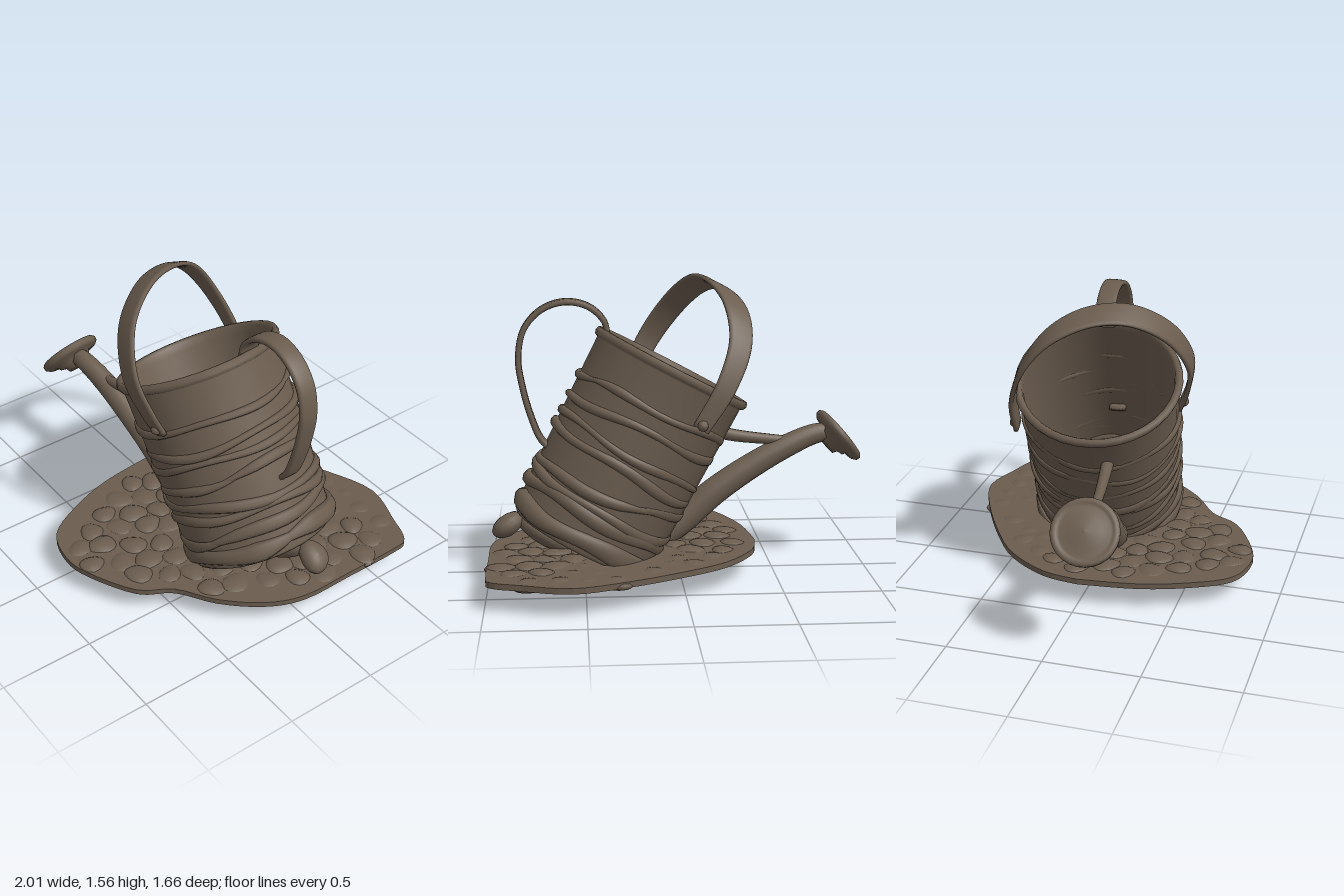
import * as THREE from 'three';

const V = (x, y, z) => new THREE.Vector3(x, y, z);
const rust = new THREE.MeshStandardMaterial({ color: 0x6b5d4f, side: THREE.DoubleSide });
rust.name = 'weathered brown';

let seed = 7;
const rand = () => (seed = (seed * 16807) % 2147483647) / 2147483647;

function add(parent, name, geometry) {
  const mesh = new THREE.Mesh(geometry, rust);
  mesh.name = name;
  parent.add(mesh);
  return mesh;
}

// Sweeps an oval (or squarish, when flat) section along a smooth path; size(t) gives [half width, half thickness]
function sweep(points, steps, sides, sideAt, size, flat = false) {
  const curve = new THREE.CatmullRomCurve3(points);
  const pos = [], index = [];
  for (let i = -1; i <= steps + 1; i++) {
    const t = Math.min(1, Math.max(0, i / steps));
    const c = curve.getPoint(t), tan = curve.getTangent(t);
    const side = sideAt.clone().addScaledVector(tan, -sideAt.dot(tan)).normalize();
    const nrm = tan.clone().cross(side);
    const [w, h] = i < 0 || i > steps ? [0, 0] : size(t);
    for (let j = 0; j < sides; j++) {
      const a = (j / sides) * Math.PI * 2;
      const soft = (v) => (flat ? Math.sign(v) * Math.sqrt(Math.abs(v)) : v);
      const p = c.clone().addScaledVector(side, soft(Math.cos(a)) * w).addScaledVector(nrm, soft(Math.sin(a)) * h);
      pos.push(p.x, p.y, p.z);
    }
  }
  for (let i = 0; i < steps + 2; i++) {
    for (let j = 0; j < sides; j++) {
      const a = i * sides + j, b = i * sides + ((j + 1) % sides);
      index.push(a, b, a + sides, b, b + sides, a + sides);
    }
  }
  const g = new THREE.BufferGeometry();
  g.setAttribute('position', new THREE.Float32BufferAttribute(pos, 3));
  g.setIndex(index);
  g.computeVertexNormals();
  return g;
}

function lathe(profile, sides) {
  return new THREE.LatheGeometry(profile.map(([r, y]) => new THREE.Vector2(r, y)), sides);
}

// Lumpy flattened pebble
function pebble(parent, name, center, scale, along) {
  const g = new THREE.SphereGeometry(1, 14, 8);
  const p = g.attributes.position, k = rand() * 6;
  for (let i = 0; i < p.count; i++) {
    const f = 1 + 0.06 * Math.sin(Math.atan2(p.getZ(i), p.getX(i)) * 3 + k);
    p.setXYZ(i, p.getX(i) * f, p.getY(i), p.getZ(i) * f);
  }
  g.computeVertexNormals();
  const m = add(parent, name, g);
  m.position.copy(center);
  m.scale.set(...scale);
  if (along) m.quaternion.setFromUnitVectors(V(1, 0, 0), along.normalize());
  else m.rotation.y = rand() * 6;
}

function buildCan() {
  const can = new THREE.Group();
  can.name = 'can';
  const base = V(0.52, 0.195, -0.085), top = V(0.035, 1.11, -0.015);
  const axis = top.clone().sub(base);
  const len = axis.length();
  can.position.copy(base);
  can.quaternion.setFromUnitVectors(V(0, 1, 0), axis.normalize());

  // Bucket wall with recessed underside, rolled rim and hollow inside
  add(can, 'bucket', lathe([
    [0, 0.045], [0.355, 0.04], [0.365, 0.01], [0.378, 0], [0.392, 0.015], [0.394, 0.07],
    [0.395, 0.1], [0.405, 0.4], [0.412, 0.7], [0.418, len - 0.04], [0.435, len - 0.03],
    [0.443, len - 0.01], [0.435, len + 0.012], [0.415, len + 0.014], [0.402, len],
    [0.396, len - 0.04], [0.376, 0.1], [0.36, 0.075], [0, 0.07],
  ], 36));

  // Vines wound around the bucket: height, tilt, start angle, half width, half thickness
  const vines = [
    [0.065, 0.008, 0, 0.055, 0.036], [0.17, 0.03, 1, 0.04, 0.026], [0.25, -0.035, 2.5, 0.03, 0.024],
    [0.34, 0.04, 4, 0.032, 0.024], [0.46, 0.04, 0.5, 0.03, 0.024],
    [0.56, -0.03, 3, 0.024, 0.02], [0.67, 0.03, 2, 0.026, 0.024], [0.8, -0.015, 5.5, 0.024, 0.022],
  ];
  for (const [s, tilt, start, w, h] of vines) {
    const pts = [];
    const angle = (t) => start + t * Math.PI * 2.12;
    for (let i = 0; i <= 30; i++) {
      const a = angle(i / 30);
      const y = s + tilt * Math.cos(a * 0.97 + start) + 0.01 * Math.sin(a * 4 + s * 30);
      const r = 0.396 + 0.022 * s + 0.004 * Math.sin(a * 5 + start);
      pts.push(V(Math.cos(a) * r, y, Math.sin(a) * r));
    }
    // Thicker on the raised side, thinner on the spout side
    add(can, 'vine', sweep(pts, 90, 8, V(0, 1, 0), (t) => {
      const f = (0.85 + 0.15 * Math.sin(t * 23 + start)) * Math.min(1, 0.3 + 8 * Math.min(t, 1 - t));
      return [w * f, h * f * (0.75 + 0.4 * Math.cos(angle(t)))];
    }));
  }
  return can;
}

function buildHandles(model) {
  // Swinging carry strap with a rivet at each end
  const strap = [V(0.26, 0.92, 0.375), V(0.22, 1.03, 0.42), V(0.12, 1.22, 0.455), V(-0.02, 1.42, 0.37),
    V(-0.13, 1.53, 0.19), V(-0.21, 1.525, 0), V(-0.28, 1.43, -0.18), V(-0.29, 1.27, -0.31),
    V(-0.21, 1.06, -0.4), V(-0.08, 0.85, -0.425)];
  add(model, 'carryStrap', sweep(strap, 60, 12, V(0.88, 0.46, -0.05),
    (t) => [0.045 + 0.028 * Math.sin(t * Math.PI), 0.014], true));
  for (const c of [V(0.25, 0.95, 0.395), V(-0.09, 0.87, -0.435)]) {
    const rivet = add(model, 'rivet', new THREE.SphereGeometry(0.028, 12, 8));
    rivet.position.copy(c);
  }

  // Rear grip strap, from the rim down to the wall
  const grip = [V(0.37, 1.28, -0.08), V(0.39, 1.36, -0.08), V(0.47, 1.435, -0.085), V(0.59, 1.46, -0.09),
    V(0.71, 1.42, -0.09), V(0.8, 1.32, -0.09), V(0.83, 1.17, -0.09), V(0.81, 1.02, -0.09),
    V(0.77, 0.87, -0.09), V(0.72, 0.75, -0.09), V(0.66, 0.69, -0.085)];
  add(model, 'rearGrip', sweep(grip, 50, 12, V(0, 0, 1), (t) => [0.056 - 0.008 * t, 0.016], true));
}

function buildSpout(model) {
  const pts = [V(0.09, 0.19, 0.06), V(-0.02, 0.26, 0.08), V(-0.2, 0.41, 0.1), V(-0.4, 0.54, 0.125),
    V(-0.6, 0.645, 0.15), V(-0.76, 0.705, 0.175), V(-0.86, 0.71, 0.188)];
  add(model, 'spout', sweep(pts, 40, 18, V(0, 0, 1), (t) => {
    const r = 0.08 - 0.034 * Math.pow(t, 1.6);
    return [r * 0.92, r];
  }));
  const strut = [V(-0.68, 0.665, 0.155), V(-0.5, 0.685, 0.14), V(-0.3, 0.715, 0.115), V(-0.1, 0.77, 0.09)];
  add(model, 'spoutStrut', sweep(strut, 20, 10, V(0, 0, 1), (t) => [0.02 + 0.016 * t, 0.024 + 0.014 * t]));

  // Sprinkler rose with a stepped back, raised lip and domed face
  const rose = add(model, 'sprinklerRose', lathe([
    [0, -0.085], [0.055, -0.085], [0.065, -0.06], [0.095, -0.05], [0.102, -0.03], [0.15, -0.025],
    [0.168, -0.01], [0.17, 0.01], [0.158, 0.022], [0.14, 0.02], [0.125, 0.01], [0.085, 0.026], [0, 0.035],
  ], 28));
  rose.position.set(-0.885, 0.69, 0.19);
  rose.quaternion.setFromUnitVectors(V(0, 1, 0), V(-0.77, 0.62, 0.1).normalize());
}

function buildGround(model) {
  const ground = new THREE.Group();
  ground.name = 'cobbledGround';
  model.add(ground);
  const edge = [[-0.41, 0], [-0.37, -0.2], [-0.22, -0.42], [0, -0.58], [0.3, -0.74], [0.57, -0.83],
    [0.82, -0.76], [0.97, -0.7], [0.995, -0.6], [0.995, -0.3], [0.99, 0], [0.91, 0.2], [0.75, 0.38],
    [0.56, 0.51], [0.45, 0.67], [0.2, 0.8], [0.03, 0.83], [-0.16, 0.77], [-0.28, 0.58], [-0.37, 0.32], [-0.41, 0]];
  const outline = new THREE.SplineCurve(edge.map(([x, z]) => new THREE.Vector2(x, -z))).getPoints(80).slice(0, -1);

  // Thin slab of soil, cut away where the can sinks through it
  const shape = new THREE.Shape(outline);
  const hole = new THREE.Path();
  hole.absellipse(0.36, 0.08, 0.265, 0.35, Math.PI / 2, Math.PI * 1.5, false);
  hole.closePath();
  shape.holes.push(hole);
  const slab = new THREE.ExtrudeGeometry(shape, { depth: 0.03, bevelEnabled: false });
  slab.rotateX(-Math.PI / 2);
  add(ground, 'slab', slab).position.y = 0.135;

  // Distance to the outline, negative outside
  const inset = (x, y) => {
    let inside = false, best = 9;
    outline.forEach((a, i) => {
      const b = outline[(i + 1) % outline.length];
      if ((a.y > y) !== (b.y > y) && x < ((b.x - a.x) * (y - a.y)) / (b.y - a.y) + a.x) inside = !inside;
      best = Math.min(best, Math.hypot(x - a.x, y - a.y));
    });
    return inside ? best : -best;
  };

  // Cobbles in jittered staggered rows, showing above and below the slab
  for (let row = 0; row < 13; row++) {
    for (let col = 0; col < 12; col++) {
      const x = -0.42 + col * 0.142 + (row % 2) * 0.07 + (rand() - 0.5) * 0.04;
      const z = -0.82 + row * 0.13 + (rand() - 0.5) * 0.035;
      const r = 0.066 + rand() * 0.016;
      const underCan = x < 0.42 && Math.hypot((x - 0.36) / 0.33, (z + 0.08) / 0.42) < 1;
      if (inset(x, -z) < r * 0.95 || underCan) continue;
      const y = x + z < 0.1 && z < -0.2 ? 0.142 : 0.153; // half-buried at the back
      pebble(ground, 'cobble', V(x, y, z), [r * 1.1, 0.024 + rand() * 0.008, r * 0.95]);
    }
  }

  // Larger loose stones propping the can
  pebble(ground, 'propStone', V(0.7, 0.25, -0.1), [0.18, 0.065, 0.1], V(0.82, 0.5, 0));
  pebble(ground, 'propStone', V(0.9, 0.3, -0.12), [0.095, 0.055, 0.075], V(0.8, -0.55, 0));
}

export function createModel() {
  const model = new THREE.Group();
  model.name = 'tiltedWateringCan';
  model.add(buildCan());
  buildHandles(model);
  buildSpout(model);
  buildGround(model);
  return model;
}
